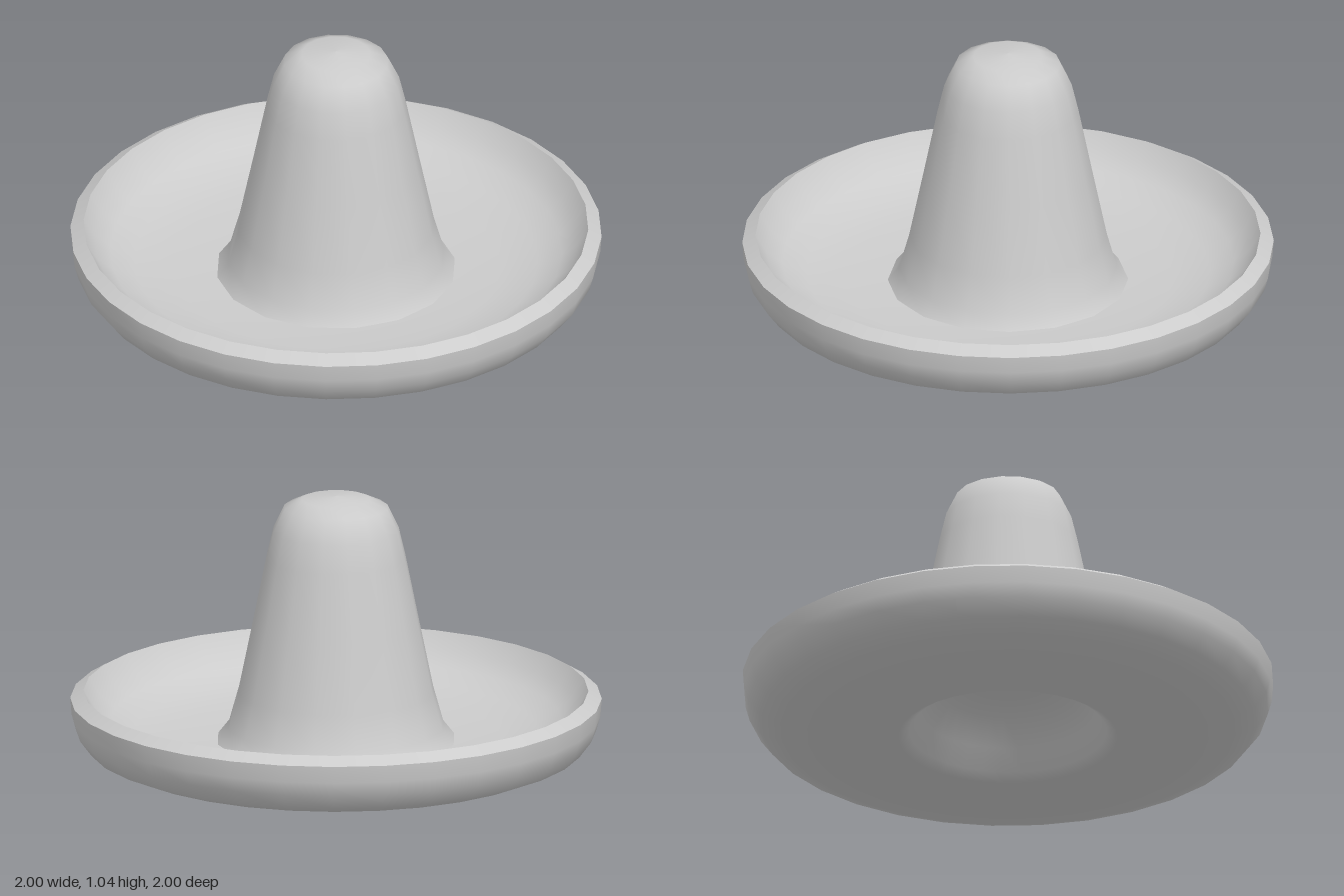
import * as THREE from 'three';

const material = new THREE.MeshStandardMaterial({ color: 0xcccccc, side: THREE.DoubleSide });

// Revolve a profile of [radius, height] pairs around the y axis
function revolve(name, profile, segments) {
  const points = profile.map(([r, y]) => new THREE.Vector2(r, y));
  const mesh = new THREE.Mesh(new THREE.LatheGeometry(points, segments), material);
  mesh.name = name;
  return mesh;
}

export function createModel() {
  const hat = new THREE.Group();
  hat.name = 'wideBrimmedHat';

  // Shallow head recess, flat underside and rounded outer edge
  hat.add(revolve('brimUnderside', [
    [0, 0.25], [0.14, 0.24], [0.25, 0.2], [0.33, 0.11], [0.37, 0.03], [0.41, 0.005],
    [0.55, 0], [0.73, 0.01], [0.85, 0.035], [0.935, 0.07], [0.98, 0.13],
    [0.995, 0.185], [1, 0.25],
  ], 32));

  // Narrow bevel around the top of the rim
  hat.add(revolve('rimEdge', [[1, 0.25], [0.95, 0.28]], 32));

  // Dished upper face of the brim
  hat.add(revolve('brimTop', [
    [0.95, 0.28], [0.91, 0.215], [0.85, 0.165], [0.76, 0.125], [0.62, 0.1], [0.42, 0.09],
  ], 32));

  // Tall tapering crown with a flared foot and softly domed top
  hat.add(revolve('crown', [
    [0.455, 0.088], [0.41, 0.145], [0.372, 0.28], [0.318, 0.54], [0.265, 0.8],
    [0.24, 0.905], [0.197, 0.995], [0.13, 1.026], [0, 1.038],
  ], 16));

  return hat;
}
